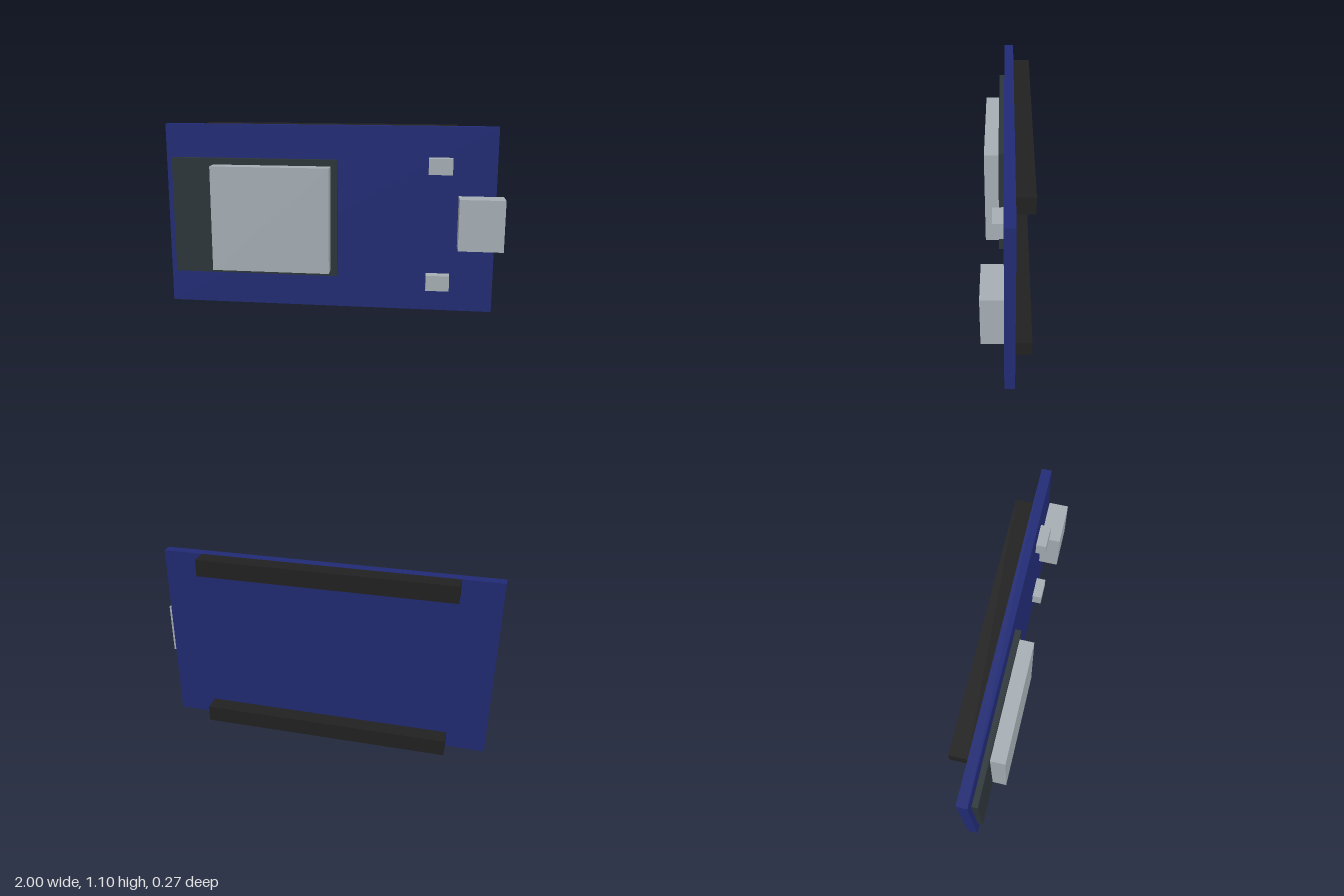
import * as THREE from 'three';

const material = (name, color) => {
  const m = new THREE.MeshStandardMaterial({ color });
  m.name = name;
  return m;
};

export function createModel() {
  const model = new THREE.Group();
  model.name = 'microcontrollerBoard';
  const blue = material('boardBlue', 0x212b75);
  const slate = material('moduleSlate', 0x2c353a);
  const silver = material('metalSilver', 0xa6afb5);
  const black = material('headerBlack', 0x212121);

  // Box given by its extents along each axis
  const block = (name, mat, [x0, x1], [y0, y1], [z0, z1]) => {
    const mesh = new THREE.Mesh(new THREE.BoxGeometry(x1 - x0, y1 - y0, z1 - z0), mat);
    mesh.position.set((x0 + x1) / 2, (y0 + y1) / 2, (z0 + z1) / 2);
    mesh.name = name;
    model.add(mesh);
  };

  const face = 0.02, back = -0.038, height = 1.1;

  // Circuit board
  block('circuitBoard', blue, [-1, 0.957], [0, height], [back, face]);

  // Radio module with its metal shield
  block('radioModule', slate, [-0.96, 0.037], [0.2, 0.902], [face, 0.053]);
  block('moduleShield', silver, [-0.705, -0.003], [0.237, 0.865], [0.053, 0.137]);

  // Port overhanging the board's edge
  block('usbPort', silver, [0.742, 1], [0.4, 0.7], [face, 0.137]);

  // Push buttons above and below the port
  block('lowerButton', silver, [0.565, 0.702], [0.137, 0.23], [face, 0.079]);
  block('upperButton', silver, [0.565, 0.702], [0.83, 0.923], [face, 0.079]);

  // Pin header strips along the back edges
  block('lowerPinHeader', black, [-0.768, 0.724], [0, 0.1], [-0.136, back]);
  block('upperPinHeader', black, [-0.768, 0.724], [height - 0.1, height], [-0.136, back]);

  return model;
}
